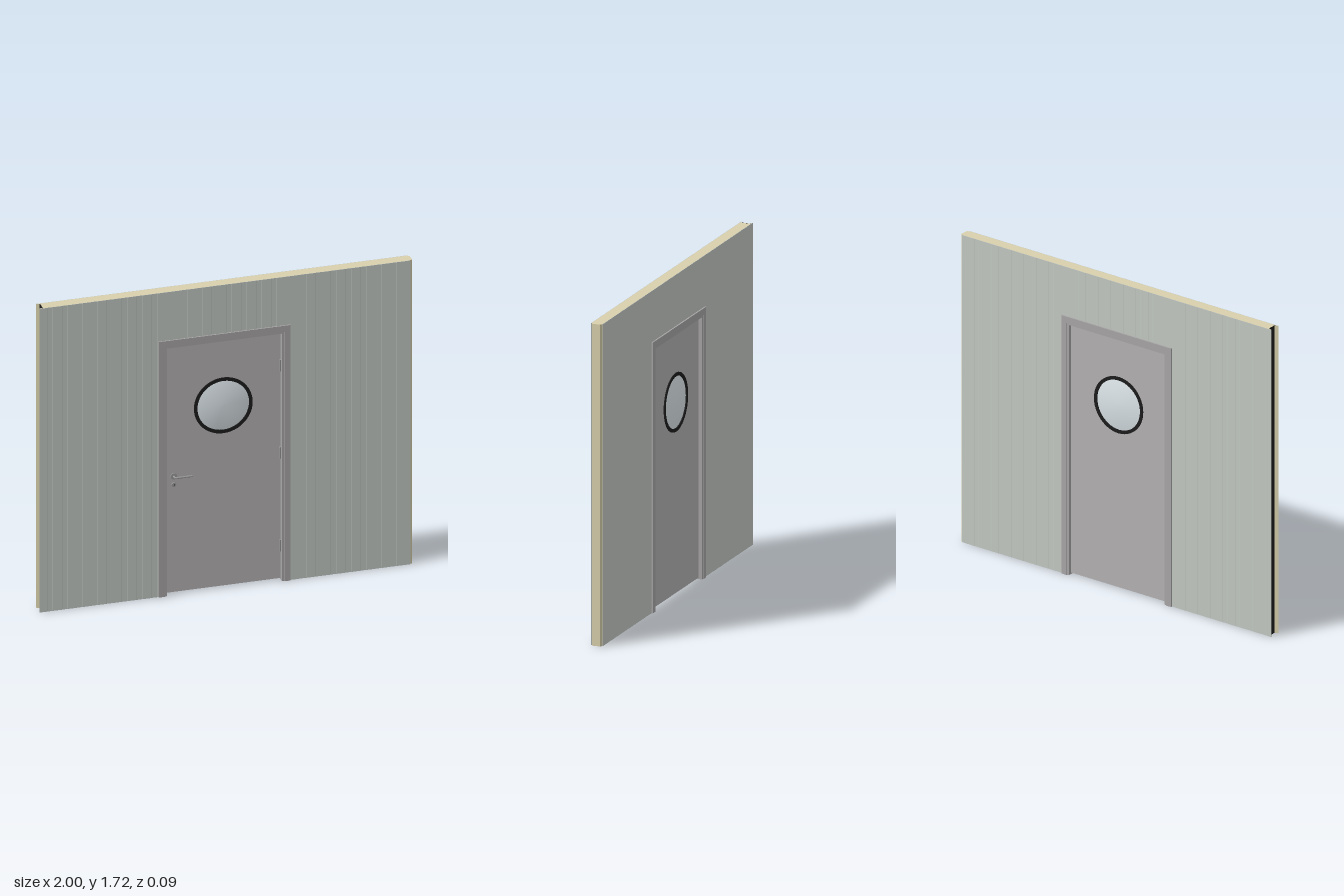
import * as THREE from 'three';

const mat = (color) => new THREE.MeshStandardMaterial({ color, side: THREE.DoubleSide });
const CX = -0.01; // centre line of the door
const FRONT = 0.03, BACK = -0.035; // wall faces

export function createModel() {
  const group = new THREE.Group();
  const sheet = mat(0xc2c8c2), foam = mat(0xd8d0ac), steel = mat(0xb4b2b2);
  const trim = mat(0xa8a6a6), black = mat(0x1c1c1c), glass = mat(0xdde6ea), metal = mat(0x9a9a9a);

  function add(name, geometry, material, x = 0, y = 0, z = 0, parent = group) {
    const mesh = new THREE.Mesh(geometry, material);
    mesh.name = name;
    mesh.position.set(x, y, z);
    parent.add(mesh);
    return mesh;
  }
  const box = (w, h, d) => new THREE.BoxGeometry(w, h, d);

  // Extrudes a plan outline of [x, z] points upward from y0 to y1
  function upright(points, y0, y1) {
    const shape = new THREE.Shape(points.map(([x, z]) => new THREE.Vector2(x, -z)));
    const geometry = new THREE.ExtrudeGeometry(shape, { depth: y1 - y0, bevelEnabled: false });
    return geometry.rotateX(-Math.PI / 2).translate(0, y0, 0);
  }

  // Thin metal facing with very shallow vertical ribs
  function facing(x0, x1, y0, y1, side) {
    const face = side > 0 ? FRONT : BACK, pitch = 0.08, low = face - side * 0.0008;
    const points = [[x0, face - side * 0.003], [x0, face]];
    for (let x = Math.ceil((x0 + 0.01) / pitch) * pitch; x < x1 - 0.04; x += pitch) {
      points.push([x, face], [x + 0.002, low], [x + 0.03, low], [x + 0.032, face]);
    }
    points.push([x1, face], [x1, face - side * 0.003]);
    return upright(points, y0, y1);
  }

  // Sandwich panels: a foam core between two facings
  const TOP = 1.72, f = FRONT - 0.003, b = BACK + 0.003;
  function panel(name, x0, x1, y0, core) {
    const part = new THREE.Group();
    part.name = name;
    group.add(part);
    add('core', upright(core, y0, TOP), foam, 0, 0, 0, part);
    add('frontFacing', facing(x0, x1, y0, TOP, 1), sheet, 0, 0, 0, part);
    add('backFacing', facing(x0, x1, y0, TOP, -1), sheet, 0, 0, 0, part);
  }
  panel('rightWallPanel', -1, -0.32, 0, [[-0.98, f], [-0.32, f], [-0.32, b], [-0.98, b]]);
  panel('lintelPanel', -0.32, 0.337, 1.42, [[-0.32, f], [0.337, f], [0.337, b], [-0.32, b]]);
  panel('leftWallPanel', 0.337, 0.988, 0,
    [[0.337, f], [0.985, f], [1, f - 0.007], [1, b + 0.007], [0.985, b], [0.337, b]]);

  // Dark seal in the groove, with foam backing the two lips
  add('grooveSeal', box(0.003, TOP, f - b), black, -0.981, TOP / 2, (f + b) / 2);
  for (const [z, s] of [[f, -1], [b, 1]]) {
    add('grooveLip', upright([[-1, z], [-0.98, z], [-0.98, z + s * 0.008]], 0, TOP), foam);
  }

  // Three-sided surround, open at the floor
  function surround(name, outer, inner, top, innerTop, z0, z1, material, y0 = 0) {
    const shape = new THREE.Shape([
      [-outer, y0], [-outer, top], [outer, top], [outer, y0],
      [inner, y0], [inner, innerTop], [-inner, innerTop], [-inner, y0],
    ].map(([x, y]) => new THREE.Vector2(x, y)));
    const geometry = new THREE.ExtrudeGeometry(shape, { depth: z1 - z0, bevelEnabled: false });
    add(name, geometry, material, CX, 0, z0);
  }
  surround('frontArchitrave', 0.353, 0.32, 1.447, 1.412, FRONT - 0.002, 0.037, trim);
  surround('backArchitrave', 0.353, 0.32, 1.447, 1.412, -0.043, BACK + 0.002, trim);
  surround('frameLining', 0.348, 0.308, 1.44, 1.402, -0.039, 0.033, trim, 0.0005);
  surround('doorGasket', 0.309, 0.306, 1.403, 1.4, -0.016, 0.007, black, 0.008);

  // Door leaf with a round window opening
  const WY = 1.03, z0 = -0.02, z1 = 0.01, mid = (z0 + z1) / 2;
  const leaf = new THREE.Shape([
    [-0.307, 0.009], [0.307, 0.009], [0.307, 1.4], [-0.307, 1.4],
  ].map(([x, y]) => new THREE.Vector2(x, y)));
  leaf.holes.push(new THREE.Path().absarc(0, WY, 0.145, 0, Math.PI * 2, true));
  add('doorLeaf', new THREE.ExtrudeGeometry(leaf, { depth: z1 - z0, bevelEnabled: false, curveSegments: 32 }),
    steel, CX, 0, z0);

  // Round window: softly shaded pane and a black rim
  const lathe = (points, n) => new THREE.LatheGeometry(
    points.map(([r, h]) => new THREE.Vector2(r, h)), n).rotateX(Math.PI / 2);
  add('windowPane', lathe([[0, -0.016], [0.143, -0.014], [0.143, 0.014], [0, 0.016]], 48), glass, CX, WY, mid);
  const rim = lathe([[0.139, -0.02], [0.157, -0.02], [0.157, 0.02], [0.139, 0.02], [0.139, -0.02]], 48).toNonIndexed();
  rim.computeVertexNormals();
  add('windowRim', rim, black, CX, WY, mid);

  // Lever handle and key rose, on the front only
  const disc = (r, d) => new THREE.CylinderGeometry(r, r, d, 24).rotateX(Math.PI / 2);
  const handle = new THREE.Group();
  handle.name = 'handle';
  handle.position.set(-0.275, 0.665, z1);
  group.add(handle);
  add('rose', disc(0.017, 0.006), metal, 0, 0, 0.003, handle);
  const lever = new THREE.CatmullRomCurve3([
    new THREE.Vector3(0, 0, 0), new THREE.Vector3(0, 0, 0.022), new THREE.Vector3(0.007, 0, 0.028),
    new THREE.Vector3(0.03, 0, 0.028), new THREE.Vector3(0.09, 0, 0.028),
  ]);
  add('lever', new THREE.TubeGeometry(lever, 32, 0.005, 10), metal, 0, 0, 0, handle);
  add('leverTip', new THREE.SphereGeometry(0.005, 10, 8), metal, 0.09, 0, 0.028, handle);
  add('keyRose', disc(0.012, 0.006), metal, 0, -0.048, 0.003, handle);
  add('keyhole', box(0.003, 0.01, 0.002), black, 0, -0.048, 0.006, handle);

  // Hinges on the opposite edge
  for (const y of [0.195, 0.72, 1.215]) {
    add('hinge', new THREE.CylinderGeometry(0.005, 0.005, 0.065, 12), metal, 0.293, y, z1 + 0.004);
  }
  return group;
}
